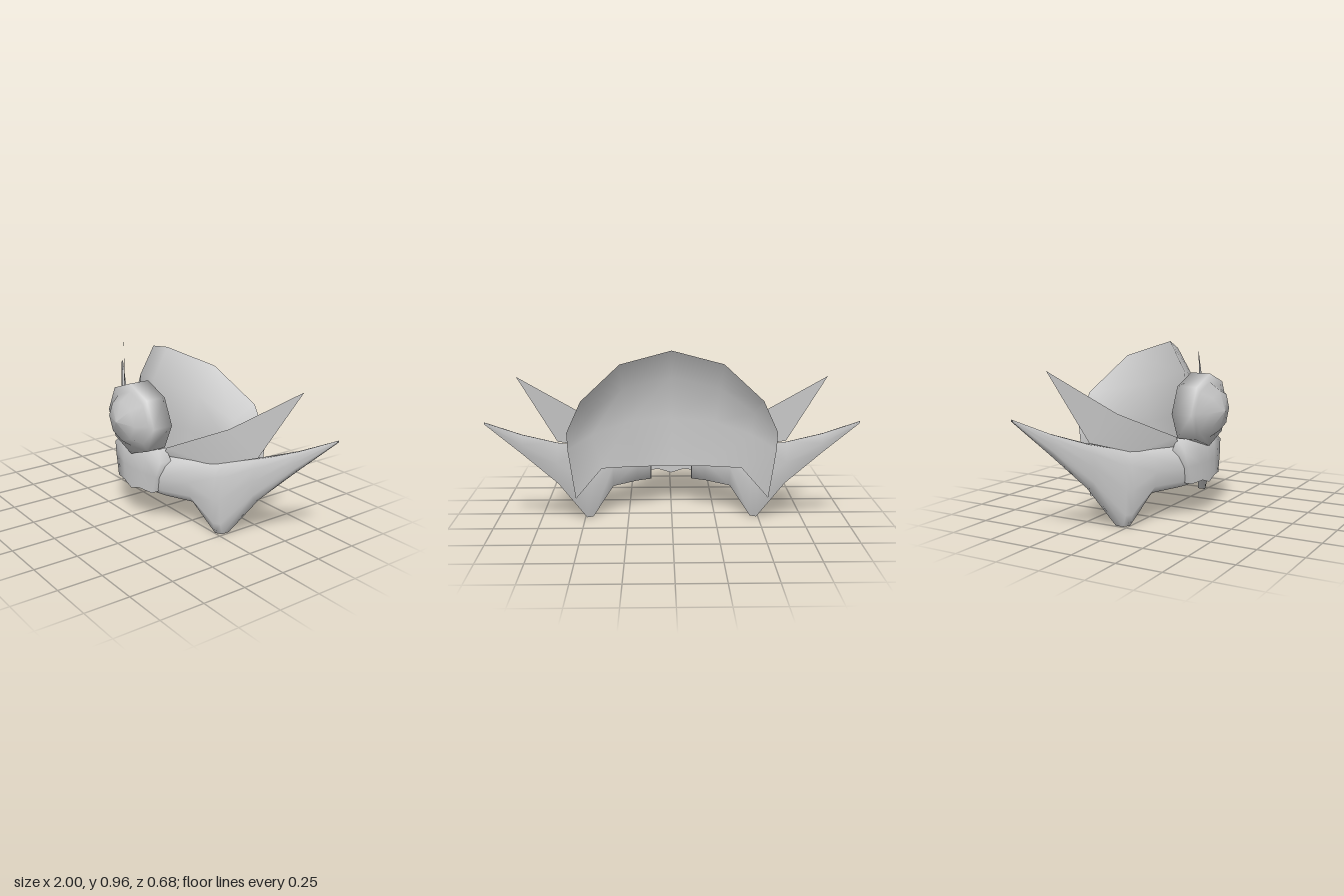
import * as THREE from 'three';

const material = new THREE.MeshStandardMaterial({ color: 0xcccccc, side: THREE.DoubleSide });

// Surface through rows of [x, y, z] points; every row has the same length.
function loft(rows, closed = false) {
  const n = rows[0].length;
  const index = [];
  for (let i = 0; i < rows.length - 1; i++) {
    for (let j = 0; j < (closed ? n : n - 1); j++) {
      const k = (j + 1) % n;
      const a = i * n + j, b = i * n + k, c = a + n, d = b + n;
      index.push(a, c, b, b, c, d);
    }
  }
  const geometry = new THREE.BufferGeometry();
  geometry.setAttribute('position', new THREE.Float32BufferAttribute(rows.flat(2), 3));
  geometry.setIndex(index);
  geometry.computeVertexNormals();
  return geometry;
}

function part(group, name, geometry) {
  const mesh = new THREE.Mesh(geometry, material);
  mesh.name = name;
  group.add(mesh);
}

// Mirrors a half row (x = 0 first) into a full one.
const mirrorRow = (row) => [
  ...row.slice(1).reverse().map(([x, y, z]) => [-x, y, z]),
  ...row,
];

// Curved fan-shaped sheet at the back, folded along its centre
function backFan() {
  const rows = [
    [[0, 0.26, 0.11], [0.2, 0.28, 0.04], [0.4, 0.3, -0.07], [0.54, 0.16, -0.195]],
    [[0, 0.55, 0.11], [0.25, 0.55, 0.02], [0.45, 0.5, -0.08], [0.575, 0.45, -0.23]],
    [[0, 0.8, 0.087], [0.28, 0.75, -0.01], [0.46, 0.63, -0.11], [0.578, 0.55, -0.237]],
    [[0, 0.967, -0.005], [0.29, 0.905, -0.11], [0.5, 0.72, -0.22], [0.5, 0.72, -0.22]],
  ];
  return loft(rows.map(mirrorRow));
}

// Swept wing: rounded sections from the inner end, past the lower fang, to the tip
function wing(side) {
  const outline = [ // x, bottom, top
    [0.12, 0.18, 0.4], [0.2, 0.18, 0.408], [0.34, 0.17, 0.415], [0.455, 0.005, 0.43],
    [0.49, 0.005, 0.437], [0.64, 0.235, 0.475], [0.82, 0.435, 0.545], [0.998, 0.625, 0.635],
  ];
  const sections = outline.map(([x, lo, hi]) => {
    const front = Math.min(0.17 - 0.654 * (x - 0.23), 0.2);
    const back = 0.107 - 0.513 * (x - 0.12);
    const z = (t) => back + (front - back) * t;
    const y = (t) => lo + (hi - lo) * t;
    return [
      [x, y(1), z(0.1)], [x, y(0.97), z(0.55)], [x, y(0.78), z(0.88)], [x, y(0.48), z(1)],
      [x, y(0.15), z(0.9)], [x, y(0), z(0.7)], [x, y(0), z(0.15)], [x, y(0.5), z(0.05)],
    ].map(([px, py, pz]) => [side * px, py, pz]);
  });
  return loft(sections, true);
}

// Flat pointed blade standing behind the wing
function blade(side) {
  const rows = [ // lower edge, upper edge
    [[0.15, 0.38, 0.13], [0.2, 0.46, 0.145]],
    [[0.42, 0.4, 0.01], [0.51, 0.618, -0.04]],
    [[0.64, 0.475, -0.13], [0.67, 0.738, -0.143]],
    [[0.835, 0.862, -0.247], [0.835, 0.862, -0.247]],
  ];
  return loft(rows.map((r) => r.map(([x, y, z]) => [side * x, y, z])));
}

// Rounded clasp joining the wings under the gem
function clasp() {
  const profile = [ // y, z, half width
    [0.2, 0.248, 0.17], [0.3, 0.242, 0.2], [0.39, 0.232, 0.228],
    [0.45, 0.19, 0.175], [0.435, 0.14, 0.15], [0.41, 0.125, 0.12],
  ];
  return loft(profile.map(([y, z, w], i) => mirrorRow([
    [0, i ? y : 0.18, z],
    [w * 0.45, i ? y : 0.205, z - 0.005],
    [w, y, z - (i < 3 ? 0.025 : 0.01)],
    [w * 0.98, y, Math.min(z, 0.15) - 0.02],
  ])));
}

// Eight-sided gem with a stepped collar, shaded smoothly into its dome
function gem() {
  const points = [
    [0, 0.128], [0.228, 0.128], [0.228, 0.246], [0.175, 0.246], [0.127, 0.307], [0, 0.342],
  ].map(([r, h]) => new THREE.Vector2(r, h));
  const geometry = new THREE.LatheGeometry(points, 8);
  geometry.rotateX(Math.PI / 2);
  geometry.scale(1, 0.895, 1);
  geometry.translate(0, 0.592, 0);
  return geometry;
}

export function createModel() {
  const model = new THREE.Group();
  model.name = 'wingedOrnament';
  part(model, 'backFan', backFan());
  part(model, 'clasp', clasp());
  part(model, 'gem', gem());
  for (const [label, side] of [['left', 1], ['right', -1]]) {
    part(model, label + 'Wing', wing(side));
    part(model, label + 'Blade', blade(side));
  }
  return model;
}
